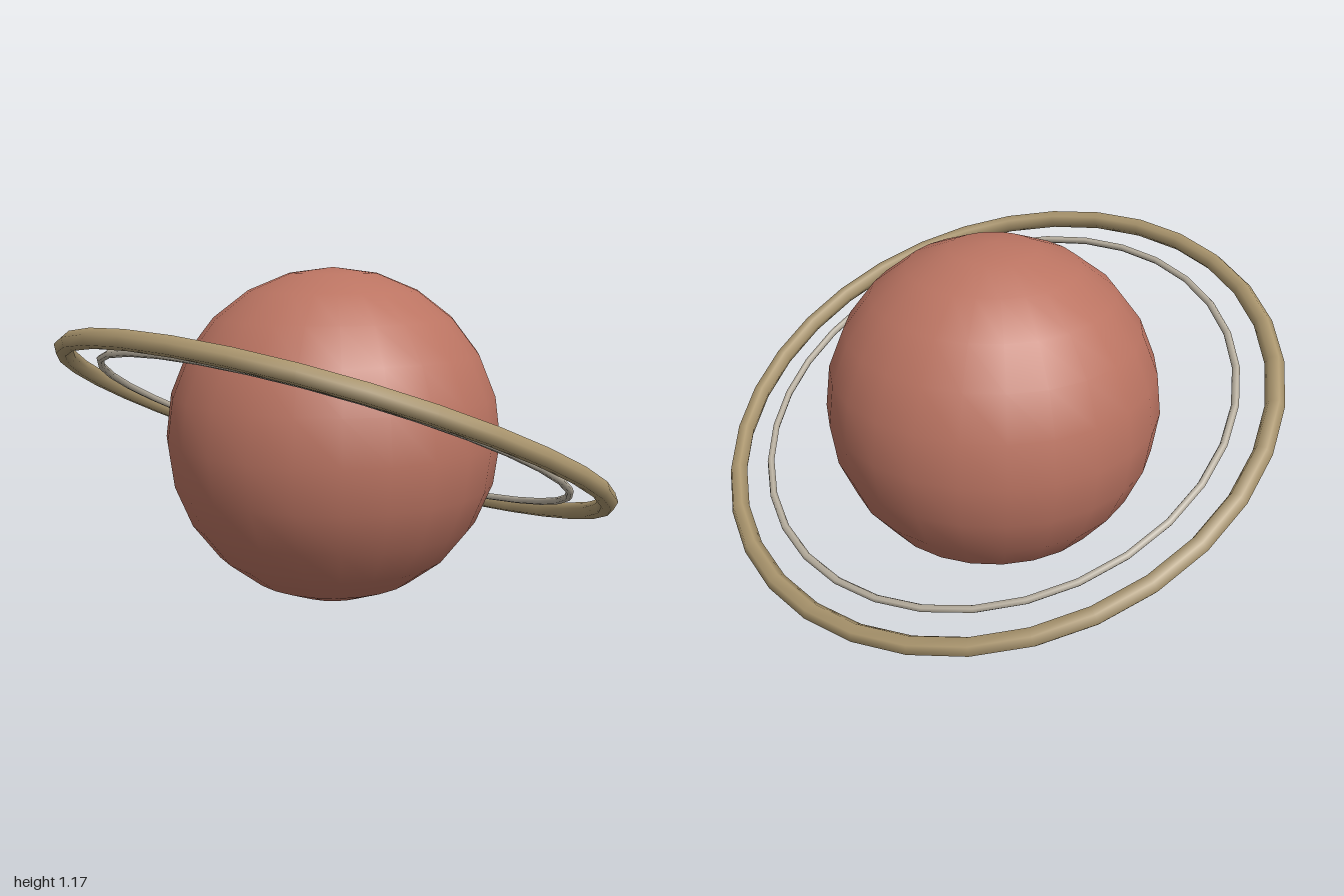
import * as THREE from 'three';

const TILT = -0.42; // raises the front (+z) edge of the rings
const CENTER_Y = 0.585;

function flat(name, color) {
  const material = new THREE.MeshStandardMaterial({ color });
  material.name = name;
  return material;
}

// Thin six-sided torus lying flat around the planet
function makeRing(name, radius, tube, material) {
  const geometry = new THREE.TorusGeometry(radius, tube, 6, 32);
  geometry.rotateX(Math.PI / 2);
  const mesh = new THREE.Mesh(geometry, material);
  mesh.name = name;
  return mesh;
}

export function createModel() {
  const model = new THREE.Group();
  model.name = 'ringedPlanet';

  // Planet body
  const planet = new THREE.Mesh(
    new THREE.SphereGeometry(0.585, 24, 12),
    flat('terracotta', 0xbb7462)
  );
  planet.name = 'planet';
  planet.position.y = CENTER_Y;
  model.add(planet);

  // Tilted ring system
  const rings = new THREE.Group();
  rings.name = 'rings';
  rings.position.y = CENTER_Y;
  rings.rotation.x = TILT;
  rings.add(
    makeRing('outerRing', 0.968, 0.032, flat('tan', 0xab966e)),
    makeRing('innerRing', 0.843, 0.013, flat('paleStone', 0xb9b0a0))
  );
  model.add(rings);

  return model;
}
